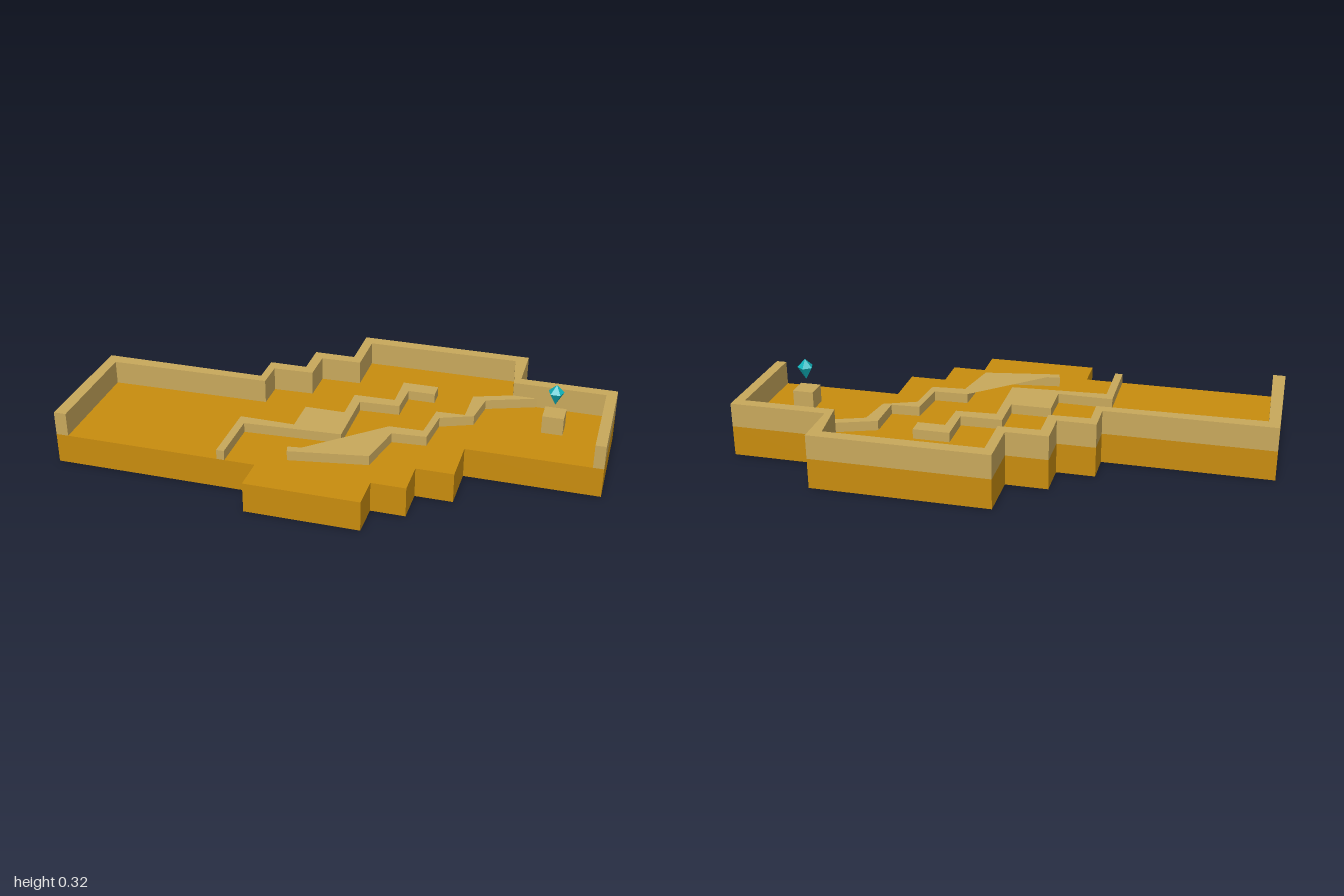
import * as THREE from 'three';

const FLOOR = 0.117, WALL = 0.21, LEDGE = 0.155;

function material(name, color) {
  const m = new THREE.MeshStandardMaterial({ color });
  m.name = name;
  return m;
}

// Extrudes a plan outline of [x, z] points between two heights.
function slab(name, plan, y0, y1, mat) {
  const shape = new THREE.Shape(plan.map(([x, z]) => new THREE.Vector2(x, -z)));
  const geo = new THREE.ExtrudeGeometry(shape, { depth: y1 - y0, bevelEnabled: false });
  geo.rotateX(-Math.PI / 2).translate(0, y0, 0);
  const mesh = new THREE.Mesh(geo, mat);
  mesh.name = name;
  return mesh;
}

export function createModel() {
  const group = new THREE.Group();
  group.name = 'steppedFloor';
  const gold = material('gold floor', 0xc98d0e);
  const tan = material('tan wall', 0xc9a95c);
  const teal = material('teal gem', 0x0fb5bd);

  // Rear outline, shared by the floor and the outer face of the wall
  const back = [
    [-1, 0.405], [-1, -0.088], [-0.358, -0.088], [-0.358, -0.21], [-0.212, -0.21], [-0.212, -0.347],
    [-0.052, -0.347], [-0.052, -0.537], [0.627, -0.537], [0.627, -0.347], [1, -0.347], [1, 0.085],
  ];
  const front = [
    [0.492, 0.085], [0.492, 0.268], [0.35, 0.268], [0.35, 0.405],
    [0.22, 0.405], [0.22, 0.535], [-0.212, 0.535], [-0.212, 0.405],
  ];
  group.add(slab('floor', [...back, ...front], 0, FLOOR, gold));

  // Tall perimeter wall
  const inner = [
    [0.96, 0.085], [0.96, -0.305], [0.605, -0.305], [0.58, -0.493], [-0.015, -0.488], [-0.015, -0.305],
    [-0.172, -0.3], [-0.172, -0.168], [-0.328, -0.162], [-0.328, -0.05], [-0.958, -0.038], [-0.952, 0.405],
  ];
  group.add(slab('perimeterWall', [...back, ...inner], FLOOR, WALL, tan));

  // Low winding ledges
  group.add(slab('leftLedge', [
    [-0.358, 0.405], [-0.358, 0.147], [-0.145, 0.15], [-0.145, 0.008], [0.01, 0.008], [0.01, -0.137],
    [0.17, -0.14], [0.17, -0.29], [0.31, -0.29], [0.31, -0.227], [0.205, -0.227], [0.2, -0.096],
    [0.045, -0.088], [0.045, 0.172], [-0.328, 0.193], [-0.328, 0.405],
  ], FLOOR, LEDGE, tan));
  group.add(slab('rightLedge', [
    [0.605, -0.305], [0.457, -0.252], [0.455, -0.1], [0.345, -0.095], [0.33, 0.06], [0.2, 0.064],
    [0.19, 0.268], [-0.118, 0.31], [-0.11, 0.342], [0.185, 0.292], [0.222, 0.112], [0.352, 0.102],
    [0.367, -0.05], [0.49, -0.1], [0.51, -0.235], [0.705, -0.307],
  ], FLOOR, LEDGE, tan));

  // Hovering pedestal block
  const pedestal = new THREE.Mesh(new THREE.BoxGeometry(0.08, 0.07, 0.08), tan);
  pedestal.name = 'pedestal';
  pedestal.position.set(0.787, 0.168, -0.125);
  group.add(pedestal);

  // Five-sided gem: shallow crown over a longer point
  const gem = new THREE.Group();
  gem.name = 'gem';
  gem.position.set(0.787, 0.29, -0.123);
  gem.rotation.y = Math.PI;
  const crown = new THREE.Mesh(new THREE.CylinderGeometry(0, 0.031, 0.031, 5, 1, true).toNonIndexed(), teal);
  const point = new THREE.Mesh(new THREE.CylinderGeometry(0.031, 0, 0.051, 5, 1, true).toNonIndexed(), teal);
  crown.name = 'gemCrown';
  point.name = 'gemPoint';
  crown.position.y = 0.0155;
  point.position.y = -0.0255;
  for (const m of [crown, point]) m.geometry.computeVertexNormals();
  gem.add(crown, point);
  group.add(gem);

  return group;
}
